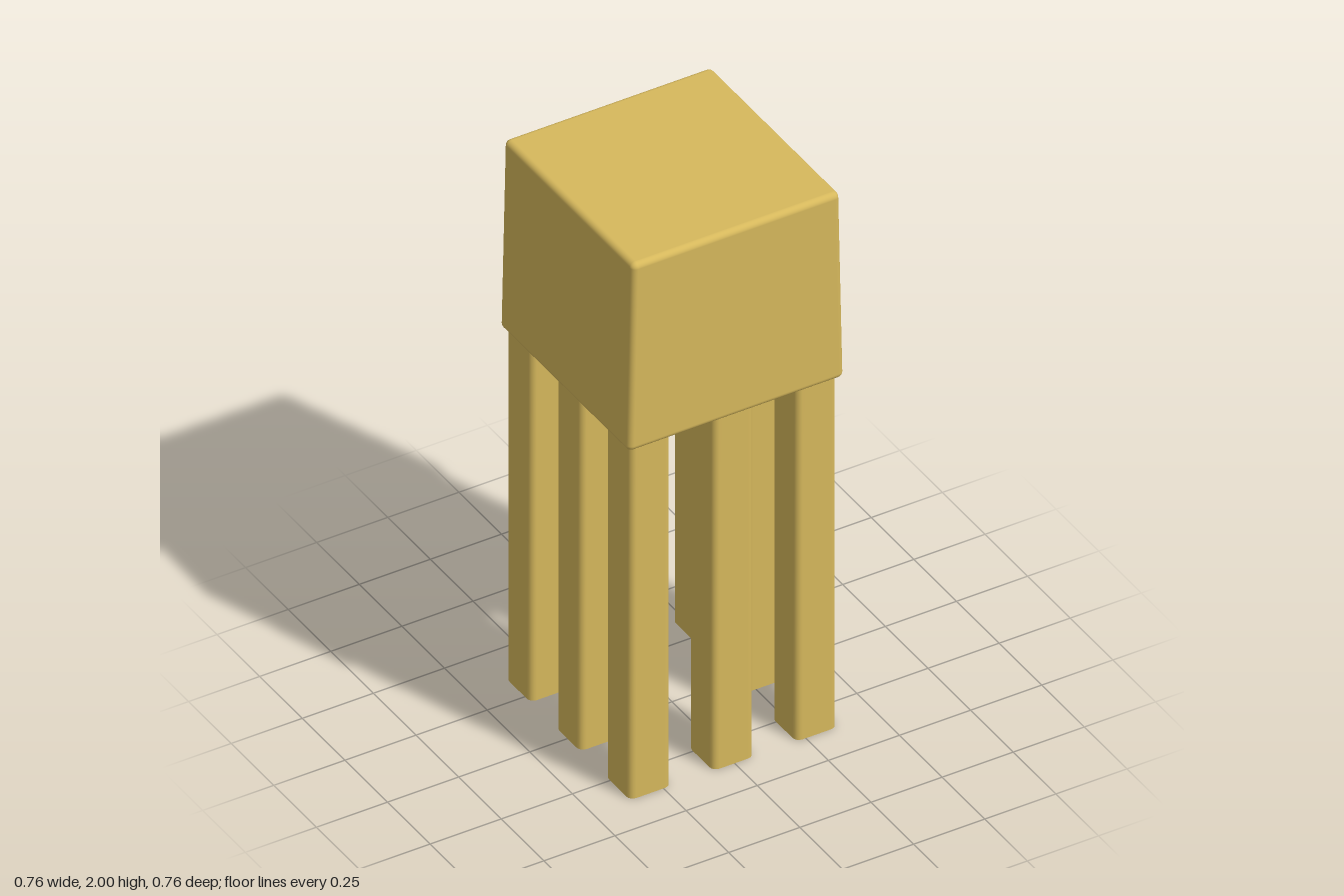
import * as THREE from 'three';
import { RoundedBoxGeometry } from 'three/addons/geometries/RoundedBoxGeometry.js';

// Open square tube with rounded corners, built from two stacked rings
function tubeGeometry(width, radius, y0, y1) {
  const ring = [];
  const inner = width / 2 - radius;
  const steps = 4;
  for (let corner = 0; corner < 4; corner++) {
    const start = corner * Math.PI / 2;
    const cx = Math.SQRT2 * inner * Math.cos(start + Math.PI / 4);
    const cz = Math.SQRT2 * inner * Math.sin(start + Math.PI / 4);
    for (let i = 0; i <= steps; i++) {
      const a = start + (i / steps) * Math.PI / 2;
      ring.push([cx + radius * Math.cos(a), cz + radius * Math.sin(a)]);
    }
  }
  const positions = [], indices = [], n = ring.length;
  for (const y of [y0, y1]) for (const [x, z] of ring) positions.push(x, y, z);
  for (let i = 0; i < n; i++) {
    const j = (i + 1) % n;
    indices.push(i, i + n, j, j, i + n, j + n);
  }
  const geometry = new THREE.BufferGeometry();
  geometry.setAttribute('position', new THREE.Float32BufferAttribute(positions, 3));
  geometry.setIndex(indices);
  geometry.computeVertexNormals();
  return geometry;
}

export function createModel() {
  const model = new THREE.Group();
  model.name = 'tentacledBlock';
  const ochre = new THREE.MeshStandardMaterial({ color: 0xd6b85c, side: THREE.DoubleSide });
  ochre.name = 'ochre';

  // Head: rounded block whose left and right sides lean inward toward the top
  const bottom = 1.305, height = 0.695;
  const headGeometry = new RoundedBoxGeometry(0.76, height, 0.76, 4, 0.02);
  const p = headGeometry.attributes.position;
  for (let i = 0; i < p.count; i++) {
    const t = p.getY(i) / height + 0.5;
    p.setX(i, p.getX(i) * (1 - 0.04 * t));
  }
  const head = new THREE.Mesh(headGeometry, ochre);
  head.name = 'head';
  head.position.y = bottom + height / 2;
  model.add(head);

  // Legs: ring of eight hollow tubes around an empty centre
  const legs = new THREE.Group();
  legs.name = 'legs';
  const legGeometry = tubeGeometry(0.145, 0.022, 0, bottom + 0.005);
  for (let ix = -1; ix <= 1; ix++) {
    for (let iz = -1; iz <= 1; iz++) {
      if (ix === 0 && iz === 0) continue;
      const leg = new THREE.Mesh(legGeometry, ochre);
      leg.name = 'leg';
      leg.position.set(ix * 0.292 - 0.003, 0, iz * 0.292 + 0.003);
      legs.add(leg);
    }
  }
  model.add(legs);
  return model;
}
